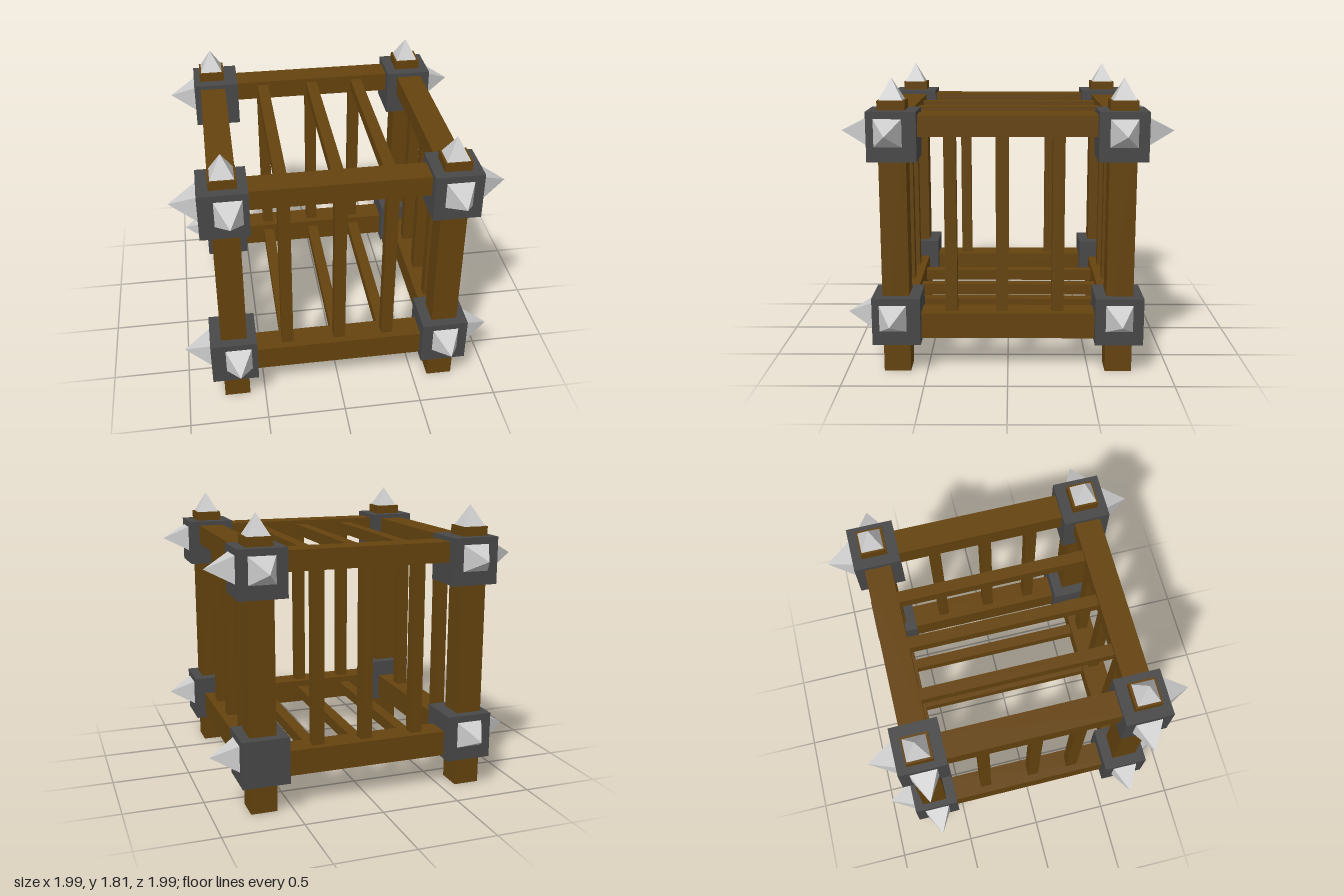
import * as THREE from 'three';

export function createModel() {
  const cage = new THREE.Group();
  cage.name = 'cage';
  const wood = new THREE.MeshStandardMaterial({ color: 0x65430e });
  const iron = new THREE.MeshStandardMaterial({ color: 0x484848 });
  const steel = new THREE.MeshStandardMaterial({ color: 0xcccccc, flatShading: true });

  function box(name, material, size, position) {
    const mesh = new THREE.Mesh(new THREE.BoxGeometry(...size), material);
    mesh.name = name;
    mesh.position.set(...position);
    cage.add(mesh);
  }

  // Square pyramid whose base centre sits at `base`, pointing along `dir`
  const up = new THREE.Vector3(0, 1, 0);
  function spike(name, half, height, base, dir) {
    const geometry = new THREE.ConeGeometry(half * Math.SQRT2, height, 4);
    geometry.rotateY(Math.PI / 4);
    geometry.translate(0, height / 2, 0);
    const mesh = new THREE.Mesh(geometry, steel);
    mesh.name = name;
    mesh.position.set(...base);
    mesh.quaternion.setFromUnitVectors(up, new THREE.Vector3(...dir));
    cage.add(mesh);
  }

  // Corner posts, iron corner blocks and spikes
  const block = 0.295;
  for (const sx of [-1, 1]) {
    for (const sz of [-1, 1]) {
      box('cornerPost', wood, [0.165, 1.68, 0.165], [sx * 0.683, 0.84, sz * 0.685]);
      spike('topSpike', 0.07, 0.13, [sx * 0.683, 1.68, sz * 0.688], [0, 1, 0]);

      const bx = sx > 0 ? 0.68 : sz > 0 ? -0.688 : -0.66;
      const bz = sz * 0.68;
      for (const y of [0.34, 1.475]) {
        box('cornerBlock', iron, [block, block, block], [bx, y, bz]);
        const faceX = bx + sx * block / 2;
        const faceZ = bz + sz * block / 2;
        const spikeZ = sx > 0 && sz > 0 ? 0.7 : sz * 0.68;
        spike('sideSpike', 0.083, 0.165, [faceX, y + 0.022, spikeZ], [sx, 0, 0]);
        // One lower rear corner has lost its rear spike
        if (sx > 0 && sz < 0 && y < 1) continue;
        spike('endSpike', 0.083, 0.165, [sx > 0 ? 0.685 : -0.66, y + 0.022, faceZ], [0, 0, sz]);
      }
    }
  }

  // Horizontal rails, thicker at the bottom
  for (const [y, height] of [[0.295, 0.16], [1.532, 0.126]]) {
    for (const s of [-1, 1]) {
      box('crossRail', wood, [1.25, height, 0.166], [0, y, s * 0.683]);
      box('sideRail', wood, [0.166, height, 1.25], [s * 0.683, y, 0]);
    }
  }

  // Bars: upright in each wall, lying front to back in floor and roof
  const bar = 0.074;
  for (const x of [-0.337, 0.003, 0.317]) {
    for (const s of [-1, 1]) box('wallBar', wood, [bar, 1.2, bar], [x, 0.92, s * 0.683]);
    box('floorBar', wood, [bar, bar, 1.3], [x, 0.295, 0]);
    box('roofBar', wood, [bar, bar, 1.3], [x, 1.532, 0]);
  }
  for (const s of [-1, 1]) {
    for (const z of [-0.307, 0.036, s > 0 ? 0.348 : 0.32]) {
      box('sideBar', wood, [bar, 1.2, bar], [s * 0.683, 0.92, z]);
    }
  }
  return cage;
}
